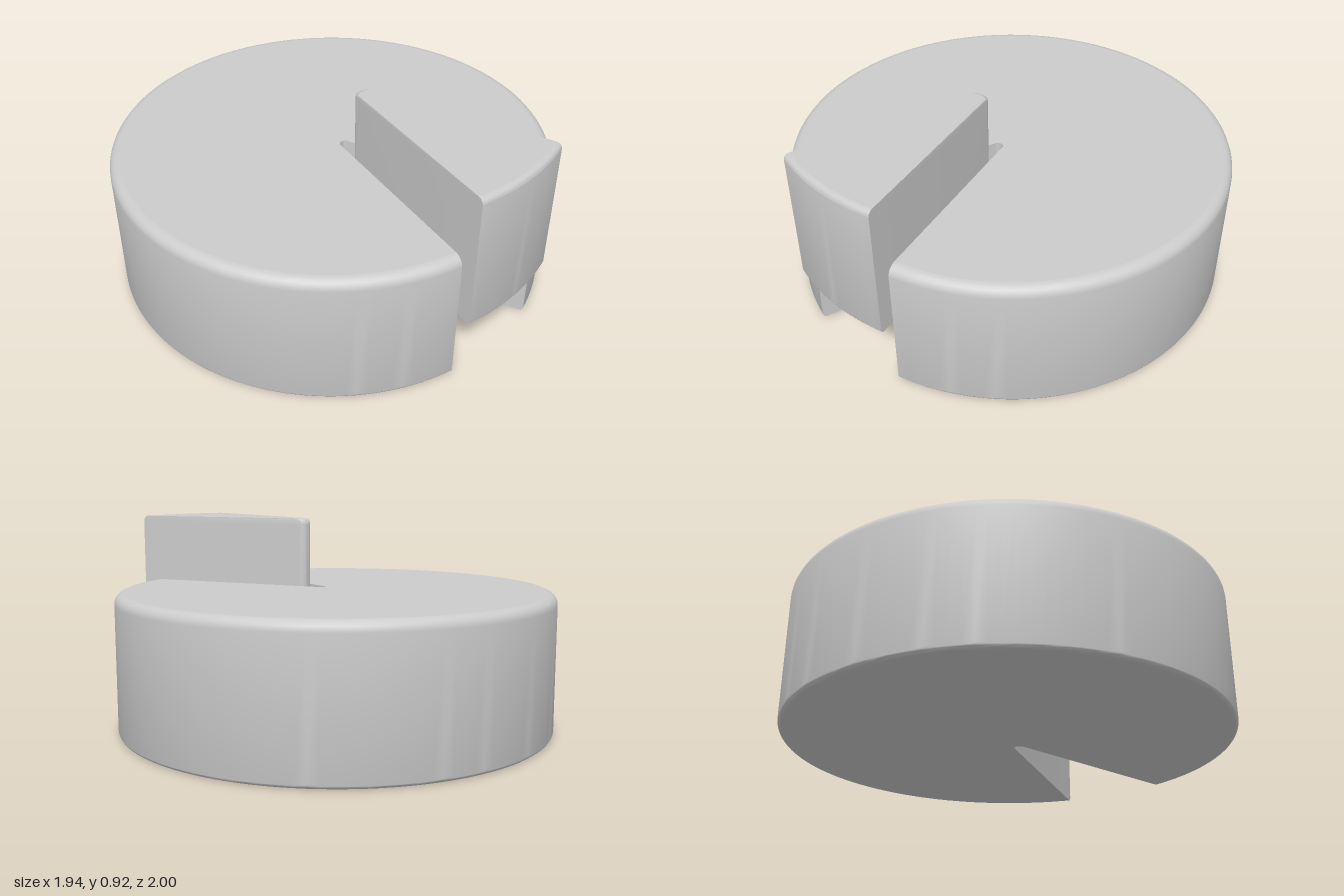
import * as THREE from 'three';
import { mergeGeometries, toCreasedNormals } from 'three/addons/utils/BufferGeometryUtils.js';

const HALF = Math.PI / 12; // half the angle of the cut
const RADIUS = 0.97;

// Sector outline, counter-clockwise from above: outer arc, then rounded tip.
// inset pulls the arc inwards, tipInset pulls the tip towards the arc.
function outline(a0, a1, segments, tipRadius, inset, tipInset) {
  const pts = [];
  for (let i = 0; i <= segments; i++) {
    const a = a0 + (a1 - a0) * i / segments;
    pts.push([Math.sin(a) * (RADIUS - inset), Math.cos(a) * (RADIUS - inset)]);
  }
  const side = Math.sign(Math.sin(a1));
  const centre = tipRadius / Math.sin(HALF);
  const sweep = Math.PI / 2 - HALF;
  for (let i = 0; i <= 12; i++) {
    const b = side * sweep * (1 - i / 6);
    const x = tipRadius * Math.sin(b), z = centre - tipRadius * Math.cos(b);
    const k = tipInset / Math.hypot(x, z);
    pts.push([x * (1 + k), z * (1 + k)]);
  }
  return pts;
}

// Upright solid with rounded bottom and top edges
function sectorSolid({ a0, a1, segments, tipRadius, height, bottom, top, tipBevel }) {
  const steps = 6, rings = [];
  const addRing = (y, inset) => rings.push({
    y, pts: outline(a0, a1, segments, tipRadius, inset, tipBevel ? inset : 0)
  });
  for (let i = 0; i <= steps; i++) {
    const t = i / steps * Math.PI / 2;
    addRing(bottom * (1 - Math.sin(t)), bottom * (1 - Math.cos(Math.PI / 2 - t)));
    rings.pop();
    addRing(bottom * (1 - Math.cos(t)), bottom * (1 - Math.sin(t)));
  }
  for (let i = 0; i <= steps; i++) {
    const t = i / steps * Math.PI / 2;
    addRing(height - top * (1 - Math.sin(t)), top * (1 - Math.cos(t)));
  }

  // Wall
  const wall = [], n = rings[0].pts.length;
  const corner = (r, i) => [rings[r].pts[i % n][0], rings[r].y, rings[r].pts[i % n][1]];
  for (let r = 0; r < rings.length - 1; r++) {
    for (let i = 0; i < n; i++) {
      const a = corner(r, i), b = corner(r, i + 1), c = corner(r + 1, i + 1), d = corner(r + 1, i);
      wall.push(...a, ...b, ...c, ...a, ...c, ...d);
    }
  }

  // Flat top and bottom
  const caps = [];
  for (const [r, isTop] of [[0, false], [rings.length - 1, true]]) {
    const flat = rings[r].pts.map(([x, z]) => new THREE.Vector2(x, -z));
    for (const [i, j, k] of THREE.ShapeUtils.triangulateShape(flat, [])) {
      for (const v of isTop ? [i, j, k] : [i, k, j]) caps.push(...corner(r, v));
    }
  }

  const toGeometry = (positions) => {
    const g = new THREE.BufferGeometry();
    g.setAttribute('position', new THREE.Float32BufferAttribute(positions, 3));
    g.computeVertexNormals();
    return g;
  };
  return mergeGeometries([toCreasedNormals(toGeometry(wall), 0.6), toGeometry(caps)]);
}

export function createModel() {
  const group = new THREE.Group();
  const material = new THREE.MeshStandardMaterial({ color: 0xcccccc });

  // Round body with a wedge cut out of its front
  const body = new THREE.Mesh(sectorSolid({
    a0: HALF, a1: 2 * Math.PI - HALF, segments: 120, tipRadius: 0.023,
    height: 0.615, bottom: 0.02, top: 0.045, tipBevel: false
  }), material);
  body.name = 'cutDisc';
  body.position.z = -0.03;

  // The wedge, lifted and pulled forward
  const slice = new THREE.Mesh(sectorSolid({
    a0: -HALF, a1: HALF, segments: 16, tipRadius: 0.035,
    height: 0.61, bottom: 0.02, top: 0.025, tipBevel: true
  }), material);
  slice.name = 'raisedSlice';
  slice.position.set(0, 0.31, 0.03);

  group.add(body, slice);
  return group;
}
